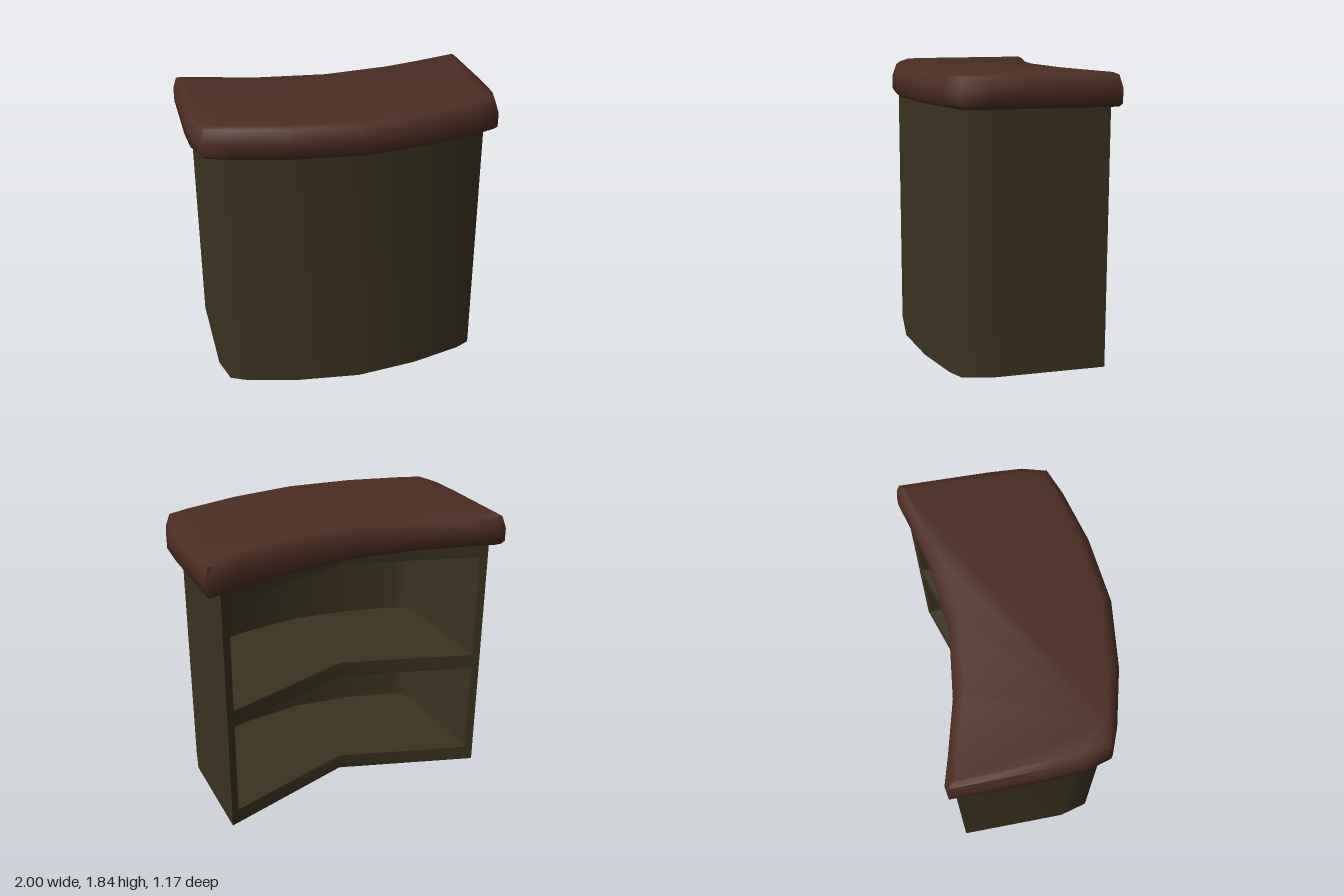
import * as THREE from 'three';
import { toCreasedNormals } from 'three/addons/utils/BufferGeometryUtils.js';

const CREASE = 1.0;
const V = (x, z) => new THREE.Vector2(x, -z); // plan point, seen from above

// Mirrors a half outline (x >= 0, from back centre to front centre) into a full loop.
function mirrored(half) {
  const left = half.filter(([x]) => x > 0).reverse().map(([x, z]) => [-x, z]);
  // right half runs back to front, so reverse for a counter-clockwise loop
  const loop = [...half, ...left].map(([x, z]) => V(x, z));
  return THREE.ShapeUtils.isClockWise(loop) ? loop.reverse() : loop;
}

// Moves every point of a counter-clockwise loop inwards by d.
function inset(loop, d) {
  const n = loop.length;
  return loop.map((p, i) => {
    const a = p.clone().sub(loop[(i + n - 1) % n]).normalize();
    const b = loop[(i + 1) % n].clone().sub(p).normalize();
    const t = a.add(b).normalize();
    return new THREE.Vector2(p.x - t.y * d, p.y + t.x * d);
  });
}

// Vertical prism from a plan loop.
function prism(loop, y0, y1) {
  const geo = new THREE.ExtrudeGeometry(new THREE.Shape(loop), { depth: y1 - y0, bevelEnabled: false });
  geo.rotateX(-Math.PI / 2).translate(0, y0, 0);
  return toCreasedNormals(geo, CREASE);
}

// Stacks inset copies of a loop, with caps at both ends.
function loft(loop, levels) {
  const n = loop.length;
  const pos = [];
  const index = [];
  for (const [y, d] of levels) for (const p of inset(loop, d)) pos.push(p.x, y, -p.y);
  for (let r = 0; r < levels.length - 1; r++) {
    for (let j = 0; j < n; j++) {
      const a = r * n + j, b = r * n + (j + 1) % n;
      index.push(a, b, b + n, a, b + n, a + n);
    }
  }
  const top = (levels.length - 1) * n;
  for (const [a, b, c] of THREE.ShapeUtils.triangulateShape(loop, [])) {
    index.push(top + a, top + b, top + c, a, c, b);
  }
  const geo = new THREE.BufferGeometry();
  geo.setAttribute('position', new THREE.Float32BufferAttribute(pos, 3));
  geo.setIndex(index);
  return toCreasedNormals(geo, CREASE);
}

export function createModel() {
  const group = new THREE.Group();
  const bodyMat = new THREE.MeshStandardMaterial({ color: 0x3b3320 });
  const topMat = new THREE.MeshStandardMaterial({ color: 0x4c2c22 });
  const add = (name, geo, mat) => {
    const mesh = new THREE.Mesh(geo, mat);
    mesh.name = name;
    group.add(mesh);
  };

  // Curved front and side walls, open at the back
  const outer = [[0.905, -0.545], [0.9, 0.17], [0.85, 0.36], [0.75, 0.41], [0.41, 0.497], [0, 0.545]];
  const inner = [[0.855, -0.529], [0.85, 0.16], [0.81, 0.32], [0.73, 0.36], [0.4, 0.447], [0, 0.495]];
  const flip = ([x, z]) => [-x, z];
  const across = (half) => [...half, ...half.slice(0, -1).reverse().map(flip)];
  const wall = [...across(outer), ...across(inner).reverse()].map(([x, z]) => V(x, z));
  add('curvedWall', prism(wall, 0, 1.64), bodyMat);

  // Floor, middle shelf and upper panel, with a back edge angled in at the centre
  const shelf = mirrored([[0, -0.25], ...inner]);
  add('floor', prism(shelf, 0, 0.1), bodyMat);
  add('middleShelf', prism(shelf, 0.74, 0.84), bodyMat);
  add('upperPanel', prism(shelf, 1.55, 1.64), bodyMat);

  // Overhanging countertop with softened edges
  const counter = mirrored([
    [0, -0.41], [0.44, -0.46], [0.78, -0.545], [0.94, -0.59], [1, -0.58],
    [0.998, 0], [0.985, 0.22], [0.935, 0.385], [0.78, 0.445], [0.43, 0.535], [0, 0.583],
  ]);
  add('countertop', loft(counter, [
    [1.635, 0.025], [1.655, 0], [1.745, 0], [1.822, 0.028], [1.835, 0.07],
  ]), topMat);

  return group;
}
